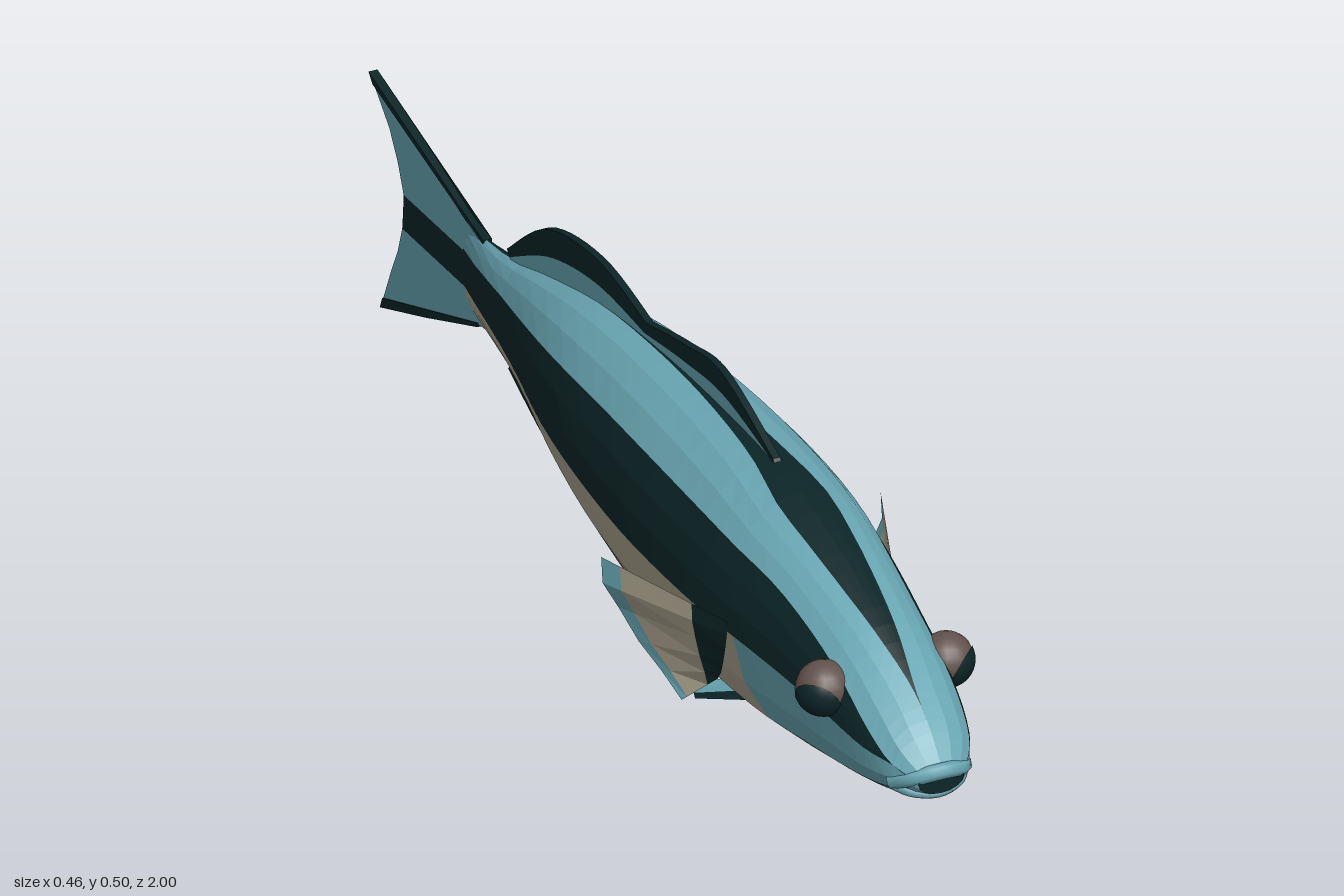
import * as THREE from 'three';

const material = (name, color, double) => {
  const m = new THREE.MeshStandardMaterial({ color });
  m.name = name;
  if (double) m.side = THREE.DoubleSide;
  return m;
};
const blue = material('blue', 0x6aa8b5, true);
const dark = material('dark teal', 0x0c2527, true);
const beige = material('beige', 0xaca48f, true);
const brown = material('brown', 0x62524c);

// Body stations: z, top y, bottom y, half width, back stripe half width, side band top y, side band bottom y
const STATIONS = [
  [-0.68, 0.300, 0.165, 0.005, 0.000, 0.258, 0.196],
  [-0.60, 0.309, 0.156, 0.020, 0.002, 0.265, 0.198],
  [-0.50, 0.325, 0.148, 0.038, 0.004, 0.280, 0.202],
  [-0.40, 0.355, 0.135, 0.058, 0.005, 0.297, 0.206],
  [-0.20, 0.405, 0.100, 0.103, 0.006, 0.335, 0.218],
  [0.00, 0.430, 0.066, 0.133, 0.009, 0.360, 0.230],
  [0.20, 0.442, 0.047, 0.150, 0.016, 0.372, 0.237],
  [0.40, 0.441, 0.043, 0.149, 0.030, 0.370, 0.240],
  [0.50, 0.430, 0.047, 0.142, 0.042, 0.362, 0.240],
  [0.60, 0.407, 0.057, 0.131, 0.037, 0.350, 0.240],
  [0.70, 0.377, 0.075, 0.118, 0.028, 0.326, 0.236],
  [0.80, 0.340, 0.095, 0.105, 0.016, 0.292, 0.228],
  [0.90, 0.284, 0.122, 0.085, 0.001, 0.237, 0.212],
  [0.95, 0.246, 0.142, 0.065, 0.000, 0.205, 0.205],
  [0.985, 0.205, 0.160, 0.038, 0.000, 0.185, 0.185],
];
const profile = new THREE.CubicInterpolant(
  STATIONS.map(s => s[0]), STATIONS.flatMap(s => s.slice(1)), 6, new Float32Array(6));

function section(z) {
  const [top, bottom, w, stripe, bandTop, bandBottom] = profile.evaluate(z);
  return { c: (top + bottom) / 2, h: (top - bottom) / 2, w, stripe: Math.max(0, stripe), bandTop, bandBottom };
}

// Flat faces from an indexed list of points, keeping material groups
function facet(positions, parts) {
  const g = new THREE.BufferGeometry();
  g.setAttribute('position', new THREE.Float32BufferAttribute(positions, 3));
  g.setIndex(parts.flat());
  let start = 0;
  const groups = parts.map(p => { const s = start; start += p.length; return [s, p.length]; });
  const flat = g.toNonIndexed();
  flat.clearGroups();
  groups.forEach(([s, n], i) => flat.addGroup(s, n, i));
  flat.computeVertexNormals();
  return flat;
}

// Elliptical body whose columns follow the stripe borders
function makeBody() {
  const counts = [2, 3, 3, 4], rows = 38, positions = [], zs = [];
  const half = counts.reduce((a, b) => a + b), cols = half * 2;
  const region = counts.flatMap((n, i) => Array(n).fill(i));
  for (let i = 0; i <= rows; i++) {
    const z = THREE.MathUtils.lerp(-0.68, 0.985, Math.sin(i / rows * Math.PI / 2));
    zs.push(z);
    const s = section(z);
    const angleAt = y => Math.acos(THREE.MathUtils.clamp((y - s.c) / s.h, -1, 1));
    const borders = [0, Math.asin(Math.min(0.9, s.stripe / s.w)), angleAt(s.bandTop), angleAt(s.bandBottom), Math.PI];
    const angles = [0];
    counts.forEach((n, r) => {
      for (let k = 1; k <= n; k++) angles.push(THREE.MathUtils.lerp(borders[r], borders[r + 1], k / n));
    });
    for (let j = 0; j <= cols; j++) {
      const a = angles[j <= half ? j : cols - j];
      // The belly border sweeps forward towards the underside
      const lower = Math.max(0, (a - borders[3]) / (Math.PI - borders[3]));
      const z2 = z + 0.07 * lower * Math.exp(-(((z - 0.53) / 0.15) ** 2));
      const p = section(z2);
      positions.push((j <= half ? 1 : -1) * p.w * Math.sin(a), p.c + p.h * Math.cos(a), z2);
    }
  }
  const parts = [[], [], []];
  for (let i = 0; i < rows; i++) for (let j = 0; j < cols; j++) {
    const r = region[j < half ? j : cols - 1 - j];
    const isBelly = r === 3 && (zs[i] + zs[i + 1]) / 2 < 0.53;
    const part = parts[r === 0 || r === 2 ? 1 : isBelly ? 2 : 0];
    const a = i * (cols + 1) + j, b = a + cols + 1;
    part.push(a, b, a + 1, b, b + 1, a + 1);
  }
  return new THREE.Mesh(facet(positions, parts), [blue, dark, beige]);
}

// Thin upright plate from points given as [z, y]
function plate(points, mat, thickness = 0.012) {
  const shape = new THREE.Shape(points.map(p => new THREE.Vector2(p[0], p[1])));
  const g = new THREE.ExtrudeGeometry(shape, { depth: thickness, bevelEnabled: false });
  g.rotateY(-Math.PI / 2).translate(thickness / 2, 0, 0);
  return new THREE.Mesh(g, mat);
}

// Upright fin with a blue base and a dark margin
function medianFin(name, base, outer, split) {
  const curve = pts => new THREE.SplineCurve(pts.map(p => new THREE.Vector2(...p))).getPoints(20);
  const lo = curve(base), hi = curve(outer);
  const mid = lo.map((p, i) => p.clone().lerp(hi[i], split));
  const strip = (a, b) => [...a, ...b.slice().reverse()].map(p => [p.x, p.y]);
  const fin = new THREE.Group();
  fin.name = name;
  fin.add(plate(strip(lo, mid), blue), plate(strip(mid, hi), dark));
  return fin;
}

// Thin paired fin lofted between two edges, coloured in bands
function pairedFin(name, base, tip, cuts, mats, side) {
  const positions = [], parts = mats.map(() => []), n = base.length;
  cuts.forEach(f => base.forEach((b, i) => {
    const p = new THREE.Vector3(...b).lerp(new THREE.Vector3(...tip[i]), f);
    // Alternate rays are slightly raised as pleats
    positions.push(side * (p.x + (i % 2 ? 0.006 * f : 0)), p.y, p.z);
  }));
  mats.forEach((_, k) => {
    for (let i = 0; i < n - 1; i++) {
      const a = k * n + i, b = a + n;
      parts[k].push(...(side > 0 ? [a, a + 1, b, b, a + 1, b + 1] : [a, b, a + 1, b, b + 1, a + 1]));
    }
  });
  const mesh = new THREE.Mesh(facet(positions, parts), mats);
  mesh.name = name;
  return mesh;
}

function makeTail() {
  const tail = new THREE.Group();
  tail.name = 'tailFin';
  tail.add(
    plate([[-0.58, 0.26], [-0.88, 0.245], [-0.9, 0.29], [-0.93, 0.335], [-0.985, 0.384], [-0.62, 0.302], [-0.58, 0.305]], blue),
    plate([[-0.58, 0.2], [-0.885, 0.185], [-0.882, 0.215], [-0.88, 0.245], [-0.58, 0.26]], dark),
    plate([[-0.58, 0.16], [-0.62, 0.155], [-0.952, 0.03], [-0.925, 0.09], [-0.9, 0.14], [-0.885, 0.185], [-0.58, 0.2]], blue),
    plate([[-0.6, 0.302], [-0.985, 0.382], [-1, 0.397], [-0.8, 0.35], [-0.66, 0.313], [-0.6, 0.309]], dark, 0.015),
    plate([[-0.62, 0.157], [-0.952, 0.032], [-0.96, 0.012], [-0.8, 0.075], [-0.62, 0.15]], dark, 0.015));
  return tail;
}

function makeMouth() {
  const mouth = new THREE.Group();
  mouth.name = 'mouth';
  const lip = (name, points, r) => {
    const curve = new THREE.CatmullRomCurve3(points.map(p => new THREE.Vector3(...p)));
    const mesh = new THREE.Mesh(new THREE.TubeGeometry(curve, 14, r, 7), blue);
    mesh.name = name;
    mouth.add(mesh);
  };
  lip('upperLip', [[-0.06, 0.172, 0.937], [-0.038, 0.189, 0.972], [0, 0.199, 0.987], [0.038, 0.189, 0.972], [0.06, 0.172, 0.937]], 0.013);
  lip('lowerLip', [[-0.06, 0.167, 0.935], [-0.038, 0.161, 0.963], [0, 0.158, 0.976], [0.038, 0.161, 0.963], [0.06, 0.167, 0.935]], 0.009);
  const opening = new THREE.Mesh(new THREE.CircleGeometry(1, 16), dark);
  opening.name = 'mouthOpening';
  opening.scale.set(0.038, 0.0225, 1);
  opening.position.set(0, 0.1825, 0.985);
  mouth.add(opening);
  return mouth;
}

function makeEye(side) {
  const eye = new THREE.Group();
  eye.name = side > 0 ? 'leftEye' : 'rightEye';
  const ball = new THREE.Mesh(new THREE.SphereGeometry(0.043, 16, 12), brown);
  ball.name = 'eyeball';
  const pupil = new THREE.Mesh(new THREE.SphereGeometry(0.0445, 16, 6, 0, Math.PI * 2, 0, 1), dark);
  pupil.name = 'pupil';
  pupil.quaternion.setFromUnitVectors(new THREE.Vector3(0, 1, 0), new THREE.Vector3(side * 0.65, -0.42, 0.6).normalize());
  eye.add(ball, pupil);
  eye.position.set(side * 0.102, 0.266, 0.787);
  return eye;
}

export function createModel() {
  const fish = new THREE.Group();
  fish.name = 'fish';
  const body = makeBody();
  body.name = 'body';
  fish.add(body, makeMouth(), makeTail());

  fish.add(medianFin('frontDorsalFin',
    [[0.42, 0.43], [0.25, 0.43], [0.1, 0.425], [-0.04, 0.415]],
    [[0.41, 0.445], [0.23, 0.502], [0.1, 0.485], [-0.04, 0.452]], 0.5));
  fish.add(medianFin('rearDorsalFin',
    [[-0.03, 0.415], [-0.2, 0.395], [-0.35, 0.36], [-0.5, 0.318]],
    [[-0.03, 0.453], [-0.2, 0.477], [-0.38, 0.44], [-0.52, 0.335]], 0.48));
  fish.add(medianFin('analFin',
    [[-0.03, 0.08], [-0.18, 0.105], [-0.34, 0.135], [-0.49, 0.158]],
    [[-0.05, 0.055], [-0.2, 0.042], [-0.37, 0.07], [-0.515, 0.132]], 0.72));

  for (const side of [1, -1]) {
    const label = side > 0 ? 'left' : 'right';
    fish.add(makeEye(side));
    fish.add(pairedFin(label + 'PectoralFin',
      [[0.140, 0.258, 0.53], [0.140, 0.235, 0.53], [0.138, 0.205, 0.52], [0.134, 0.175, 0.505], [0.128, 0.145, 0.485], [0.122, 0.12, 0.46]],
      [[0.232, 0.267, 0.285], [0.226, 0.225, 0.29], [0.208, 0.18, 0.295], [0.185, 0.135, 0.33], [0.172, 0.1, 0.37], [0.152, 0.067, 0.41]],
      [0, 0.28, 0.85, 1], [dark, beige, blue], side));
    fish.add(pairedFin(label + 'PelvicFin',
      [[0.03, 0.055, 0.45], [0.088, 0.002, 0.31]],
      [[0.02, 0.055, 0.36], [0.076, 0.012, 0.285]],
      [0, 0.4, 1], [dark, blue], side));
  }
  return fish;
}
